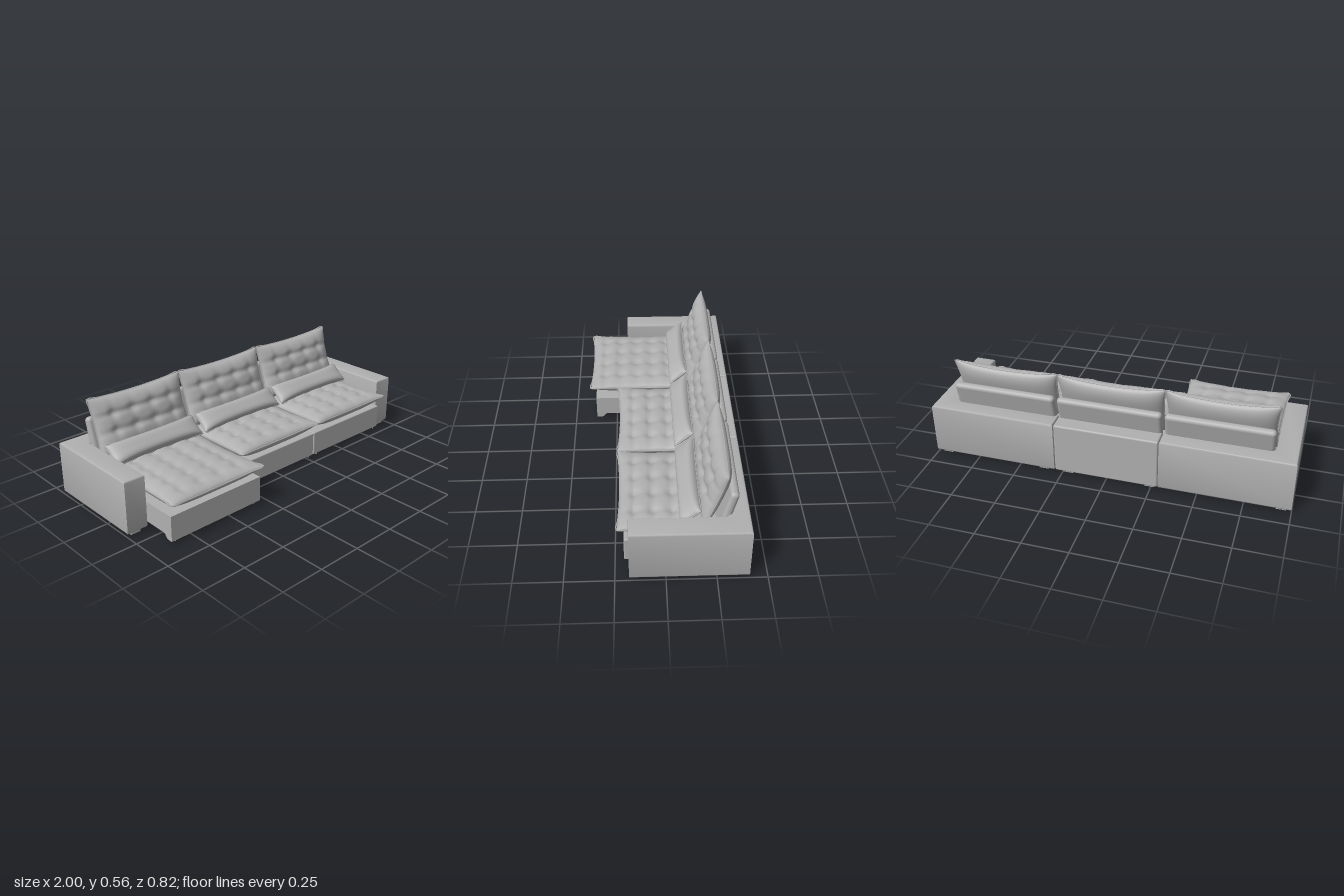
import * as THREE from 'three';
import { mergeGeometries, toCreasedNormals } from 'three/addons/utils/BufferGeometryUtils.js';
import { RoundedBoxGeometry } from 'three/addons/geometries/RoundedBoxGeometry.js';

const fabric = new THREE.MeshStandardMaterial({ color: 0xb0b0b0 });
fabric.name = 'grey fabric';

function add(parent, name, geometry, x = 0, y = 0, z = 0, tilt = 0) {
  const mesh = new THREE.Mesh(geometry, fabric);
  mesh.name = name;
  mesh.position.set(x, y, z);
  mesh.rotation.x = tilt;
  parent.add(mesh);
  return mesh;
}

// Box given by its limits
function block(parent, name, x0, x1, y0, y1, z0, z1, r = 0.006) {
  const g = new RoundedBoxGeometry(x1 - x0, y1 - y0, z1 - z0, 2, r);
  return add(parent, name, g, (x0 + x1) / 2, (y0 + y1) / 2, (z0 + z1) / 2);
}

// Cushion lying flat: two bulging sheets meeting at a piped seam.
// a, b: half sizes in x and z; up, down: bulge above and below the seam
function cushion({ a, b, up, down, cols = [], rows = [], pinch = 0.014, lift = 0.012, pipe = 0.004 }) {
  const outline = (u, v) => [
    u * (a - pinch * (1 - v * v)),
    lift * u * u * v * v,
    v * (b - pinch * (1 - u * u)),
  ];
  const tuft = (x, z) => {
    let d = 0;
    for (const r of rows) {
      d += 0.008 * Math.exp(-(((z - r * b) / 0.014) ** 2));
      for (const c of cols) {
        d += 0.012 * Math.exp(-((x - c * a) ** 2 + (z - r * b) ** 2) / 0.0007);
      }
    }
    for (const c of cols) d += 0.004 * Math.exp(-(((x - c * a) / 0.014) ** 2));
    return d;
  };
  const sheets = [1, -1].map((side) => {
    const g = new THREE.PlaneGeometry(2, 2, 48, 40).rotateX(-side * Math.PI / 2);
    const p = g.attributes.position;
    for (let i = 0; i < p.count; i++) {
      // crowd the grid towards the seam
      const u = Math.sin(p.getX(i) * Math.PI / 2), v = Math.sin(p.getZ(i) * Math.PI / 2);
      const [x, y, z] = outline(u, v);
      const fill = Math.sqrt(Math.max(0, (1 - u ** 4) * (1 - v ** 4)));
      const h = side > 0 ? up - tuft(x, z) : -down;
      p.setXYZ(i, x, y + h * fill, z);
    }
    g.computeVertexNormals();
    return g;
  });
  // piping round the seam
  const pts = [];
  const corners = [[-1, -1], [1, -1], [1, 1], [-1, 1]];
  corners.forEach(([u, v], k) => {
    const [u2, v2] = corners[(k + 1) % 4];
    for (let s = 0; s < 8; s++) {
      pts.push(new THREE.Vector3(...outline(u + (u2 - u) * s / 8, v + (v2 - v) * s / 8)));
    }
  });
  const seam = new THREE.CatmullRomCurve3(pts, true);
  return mergeGeometries([...sheets, new THREE.TubeGeometry(seam, 96, pipe, 6, true)]);
}

// L-shaped corner section: arm and its third of the back, seen in plan
function cornerSection(side) {
  const e = 0.01;
  const plan = [[0.292, -0.41], [1, -0.41], [1, 0.18], [0.882, 0.18], [0.882, -0.3], [0.292, -0.3]];
  const inset = [[e, e], [-e, e], [-e, -e], [e, -e], [e, -e], [e, -e]];
  const shape = new THREE.Shape(plan.map(([x, z], i) =>
    new THREE.Vector2(side * (x + inset[i][0]), -(z + inset[i][1]))));
  const g = new THREE.ExtrudeGeometry(shape, {
    depth: 0.273, bevelEnabled: true, bevelSize: e, bevelThickness: e, bevelSegments: 3,
  });
  g.rotateX(-Math.PI / 2);
  return toCreasedNormals(g, 0.7);
}

export function createModel() {
  const sofa = new THREE.Group();
  sofa.name = 'sofa';

  // Arms and back
  for (const side of [-1, 1]) {
    add(sofa, side > 0 ? 'leftArmAndBack' : 'rightArmAndBack', cornerSection(side), 0, 0.025, 0);
  }
  block(sofa, 'middleBack', -0.289, 0.289, 0.015, 0.307, -0.41, -0.3, 0.01);

  // Seat bases: two closed, one pulled forward
  block(sofa, 'middleBase', -0.29, 0.291, 0.015, 0.155, -0.2, 0.205);
  block(sofa, 'leftBase', 0.295, 0.879, 0.015, 0.155, -0.31, 0.205);
  const profile = new THREE.Shape();
  profile.moveTo(0.372, 0.015);
  profile.lineTo(0.372, 0.155);
  profile.lineTo(-0.2, 0.155);
  profile.lineTo(-0.2, 0.041);
  profile.lineTo(0.305, 0.041);
  profile.bezierCurveTo(0.33, 0.041, 0.32, 0.015, 0.348, 0.015);
  const slide = new THREE.ExtrudeGeometry(profile, { depth: 0.582, bevelEnabled: false, curveSegments: 10 });
  slide.rotateY(-Math.PI / 2);
  add(sofa, 'extendedBase', toCreasedNormals(slide, 0.6), -0.296, 0, 0);
  block(sofa, 'bottomPanel', -0.55, 0.85, 0.012, 0.02, -0.2, 0.17, 0.002);

  // Cushions and headrest for each of the three places
  const cols = [-0.62, -0.21, 0.21, 0.62];
  const back = cushion({ a: 0.295, b: 0.163, up: 0.056, down: 0.046, cols, rows: [-0.36, 0.2] });
  const lumbar = cushion({ a: 0.285, b: 0.062, up: 0.045, down: 0.035, pinch: 0.006, lift: 0.004, pipe: 0.003 });
  const headrest = new RoundedBoxGeometry(0.574, 0.26, 0.044, 4, 0.02);
  ['right', 'middle', 'left'].forEach((name, i) => {
    const x = (i - 1) * 0.59;
    const front = i === 0 ? 0.402 : 0.236;
    const b = (front + 0.22) / 2;
    const rows = [];
    for (let z = front - 0.085; z > -0.1; z -= 0.095) rows.push((z - (front - b)) / b);
    const seat = cushion({ a: 0.295, b, up: 0.044, down: 0.062, cols, rows });
    add(sofa, name + 'SeatCushion', seat, x, 0.217, front - b);
    add(sofa, name + 'BackCushion', back, x, 0.395, -0.25, 1.24);
    add(sofa, name + 'LumbarCushion', lumbar, x, 0.288, -0.125, 0.7);
    add(sofa, name + 'Headrest', headrest, x, 0.31, -0.303, -0.24);
  });

  // Feet
  const foot = new THREE.BoxGeometry(0.055, 0.018, 0.012);
  for (const z of [0.162, -0.385]) {
    for (const x of [-0.945, -0.24, 0.22, 0.36, 0.945]) add(sofa, 'foot', foot, x, 0.009, z);
  }
  const smallFoot = new THREE.CylinderGeometry(0.004, 0.004, 0.012, 8);
  for (const x of [-0.85, -0.33]) add(sofa, 'extendedFoot', smallFoot, x, 0.011, 0.36);
  for (const x of [-0.26, 0.26, 0.33, 0.85]) add(sofa, 'baseFoot', smallFoot, x, 0.011, 0.195);

  return sofa;
}
